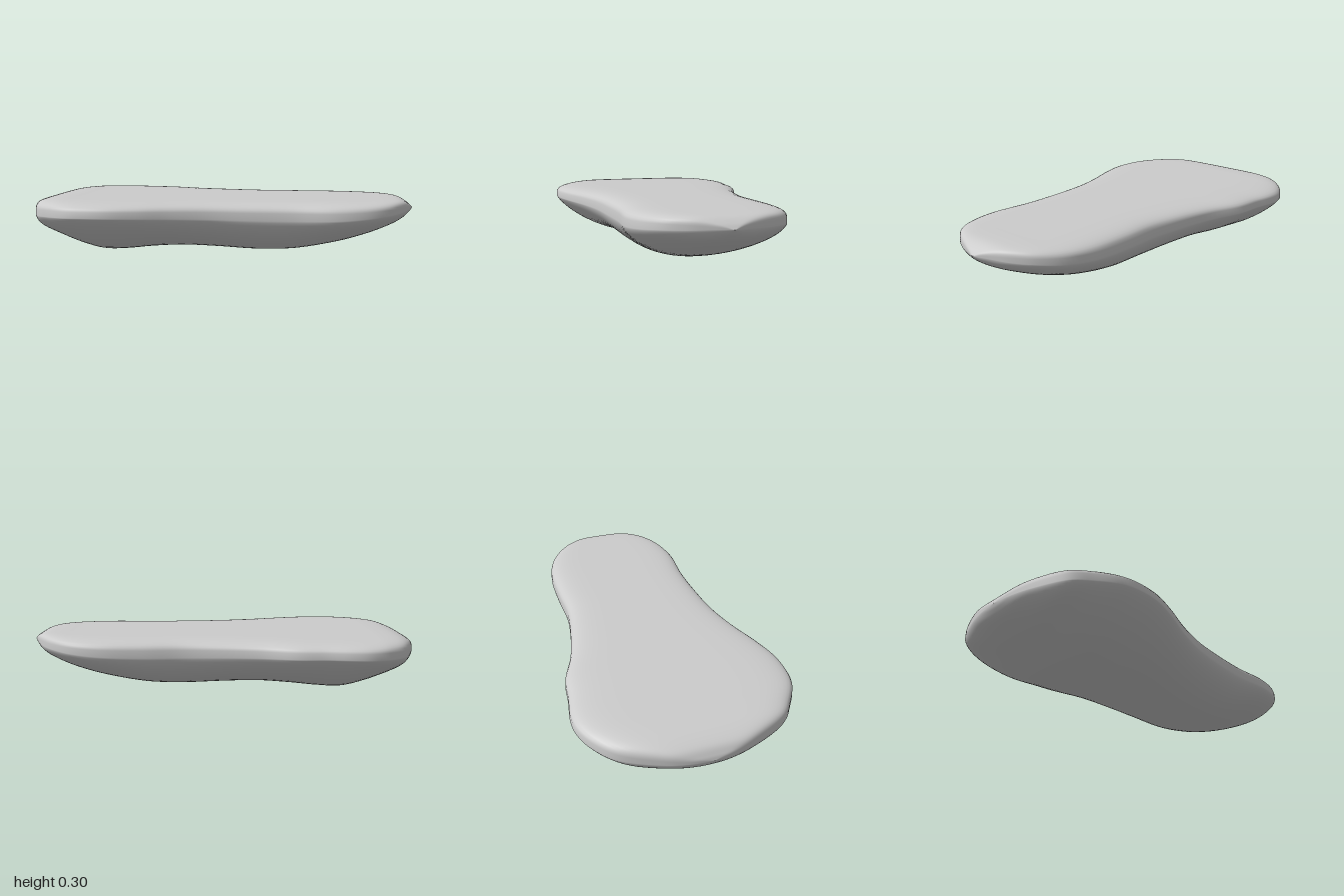
import * as THREE from 'three';

// Stations along the length: x, back half-width, front half-width, bottom y, rim y, top y
const STATIONS = [
  [-1.0, 0, 0, 0.21, 0.21, 0.21],
  [-0.99, 0.11, 0.1, 0.185, 0.21, 0.235],
  [-0.96, 0.23, 0.215, 0.15, 0.213, 0.27],
  [-0.89, 0.39, 0.375, 0.11, 0.22, 0.295],
  [-0.8, 0.48, 0.455, 0.07, 0.225, 0.303],
  [-0.7, 0.53, 0.515, 0.03, 0.23, 0.303],
  [-0.6, 0.54, 0.535, 0.004, 0.233, 0.303],
  [-0.48, 0.522, 0.53, 0.008, 0.233, 0.303],
  [-0.34, 0.505, 0.492, 0.024, 0.23, 0.303],
  [-0.18, 0.445, 0.435, 0.033, 0.225, 0.303],
  [0, 0.403, 0.39, 0.028, 0.22, 0.303],
  [0.2, 0.375, 0.369, 0.019, 0.215, 0.303],
  [0.4, 0.382, 0.36, 0.028, 0.215, 0.303],
  [0.6, 0.381, 0.369, 0.068, 0.22, 0.303],
  [0.75, 0.345, 0.338, 0.113, 0.23, 0.303],
  [0.86, 0.27, 0.275, 0.156, 0.24, 0.303],
  [0.93, 0.175, 0.185, 0.19, 0.245, 0.297],
  [0.975, 0.07, 0.08, 0.222, 0.25, 0.275],
  [1.0, 0, 0, 0.25, 0.25, 0.25],
];

const spline = (k) => new THREE.CatmullRomCurve3(
  STATIONS.map((s) => new THREE.Vector3(s[k], s[k + 1], s[k + 2])), false, 'catmullrom');

// Lofts a closed section: nearly flat above the rim, a shallow bowl below it
function slabGeometry(rings = 108, sides = 64) {
  const plan = spline(0), side = spline(3);
  const positions = [], index = [];
  for (let i = 0; i <= rings; i++) {
    const { x, y: back, z: front } = plan.getPoint(i / rings);
    const { x: bottom, y: rim, z: top } = side.getPoint(i / rings);
    const bowl = THREE.MathUtils.mapLinear(THREE.MathUtils.clamp(front, 0.36, 0.54), 0.36, 0.54, 0.62, 0.8);
    for (let j = 0; j < sides; j++) {
      const a = (j / sides) * Math.PI * 2;
      const u = Math.cos(a), s = Math.sin(a);
      const z = u * (u > 0 ? front : back);
      const y = s >= 0
        ? rim + (top - rim) * Math.pow(Math.max(0, 1 - Math.pow(Math.abs(u), 6)), 1 / 4)
        : rim - (rim - bottom) * Math.pow(s * s, bowl);
      positions.push(x, y, z);
      if (i < rings) {
        const p = i * sides + j, q = i * sides + (j + 1) % sides;
        index.push(p, p + sides, q, q, p + sides, q + sides);
      }
    }
  }
  const geometry = new THREE.BufferGeometry();
  geometry.setAttribute('position', new THREE.Float32BufferAttribute(positions, 3));
  geometry.setIndex(index);
  geometry.computeVertexNormals();
  return geometry;
}

export function createModel() {
  const model = new THREE.Group();
  const slab = new THREE.Mesh(slabGeometry(), new THREE.MeshStandardMaterial({ color: 0xcccccc }));
  slab.name = 'flatToppedSlab';
  model.add(slab);
  return model;
}
